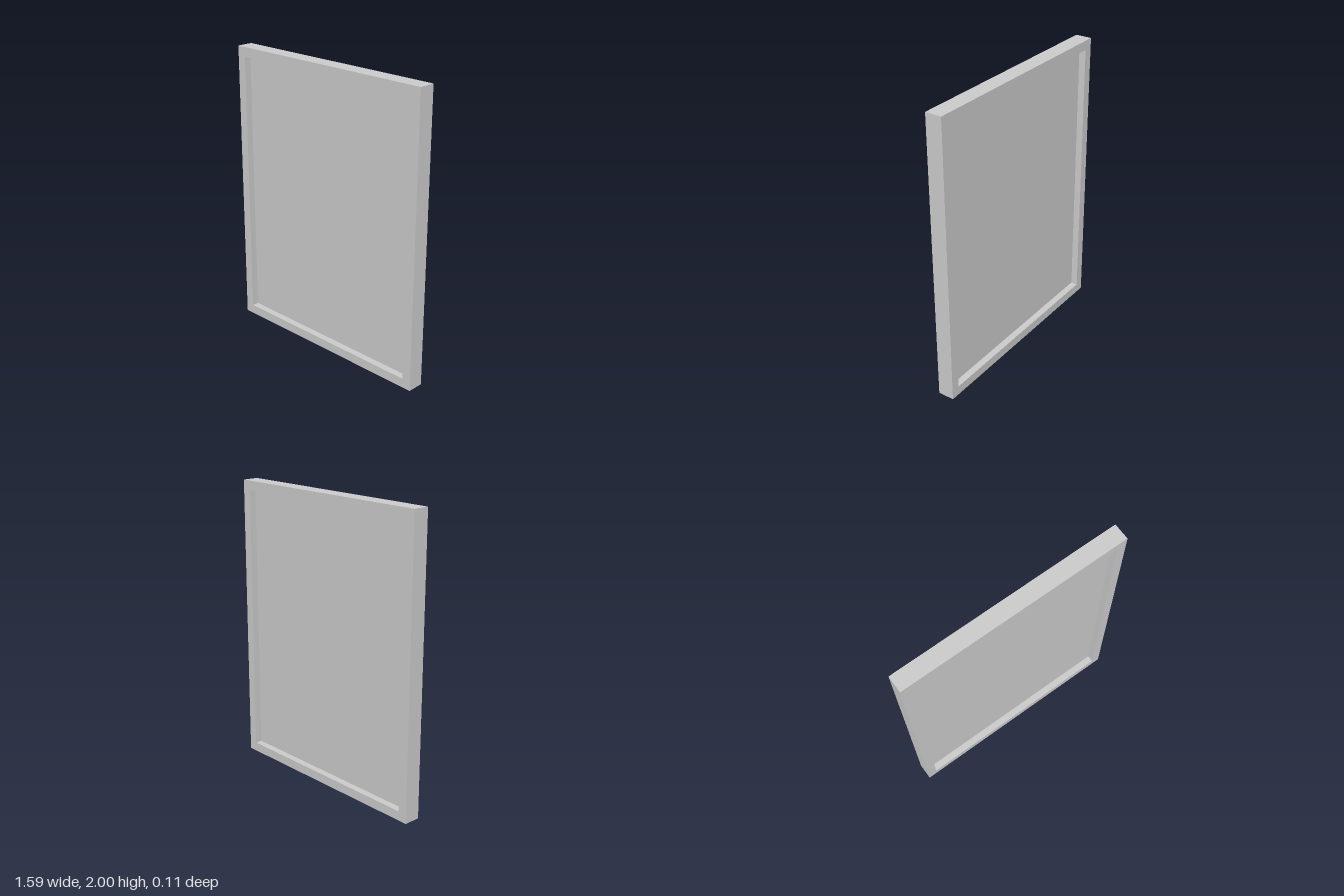
import * as THREE from 'three';

const W = 1.585, H = 2, D = 0.114; // outer size
const BORDER = 0.064;              // width of the frame's face
const PANE = 0.018;                // thickness of the recessed panel

function rectangle(target, w, h) {
  target.moveTo(-w / 2, -h / 2);
  target.lineTo(w / 2, -h / 2);
  target.lineTo(w / 2, h / 2);
  target.lineTo(-w / 2, h / 2);
  target.closePath();
  return target;
}

export function createModel() {
  const group = new THREE.Group();
  group.name = 'framedPanel';
  const material = new THREE.MeshStandardMaterial({ color: 0xcccccc });
  const innerW = W - 2 * BORDER, innerH = H - 2 * BORDER;

  // Rectangular frame with an open middle
  const outline = rectangle(new THREE.Shape(), W, H);
  outline.holes.push(rectangle(new THREE.Path(), innerW, innerH));
  const frameGeometry = new THREE.ExtrudeGeometry(outline, { depth: D, bevelEnabled: false });
  frameGeometry.translate(0, H / 2, -D / 2);
  const frame = new THREE.Mesh(frameGeometry, material);
  frame.name = 'frame';

  // Thin panel set back from both faces of the frame
  const panel = new THREE.Mesh(new THREE.BoxGeometry(innerW, innerH, PANE), material);
  panel.name = 'panel';
  panel.position.y = H / 2;

  group.add(frame, panel);
  return group;
}
